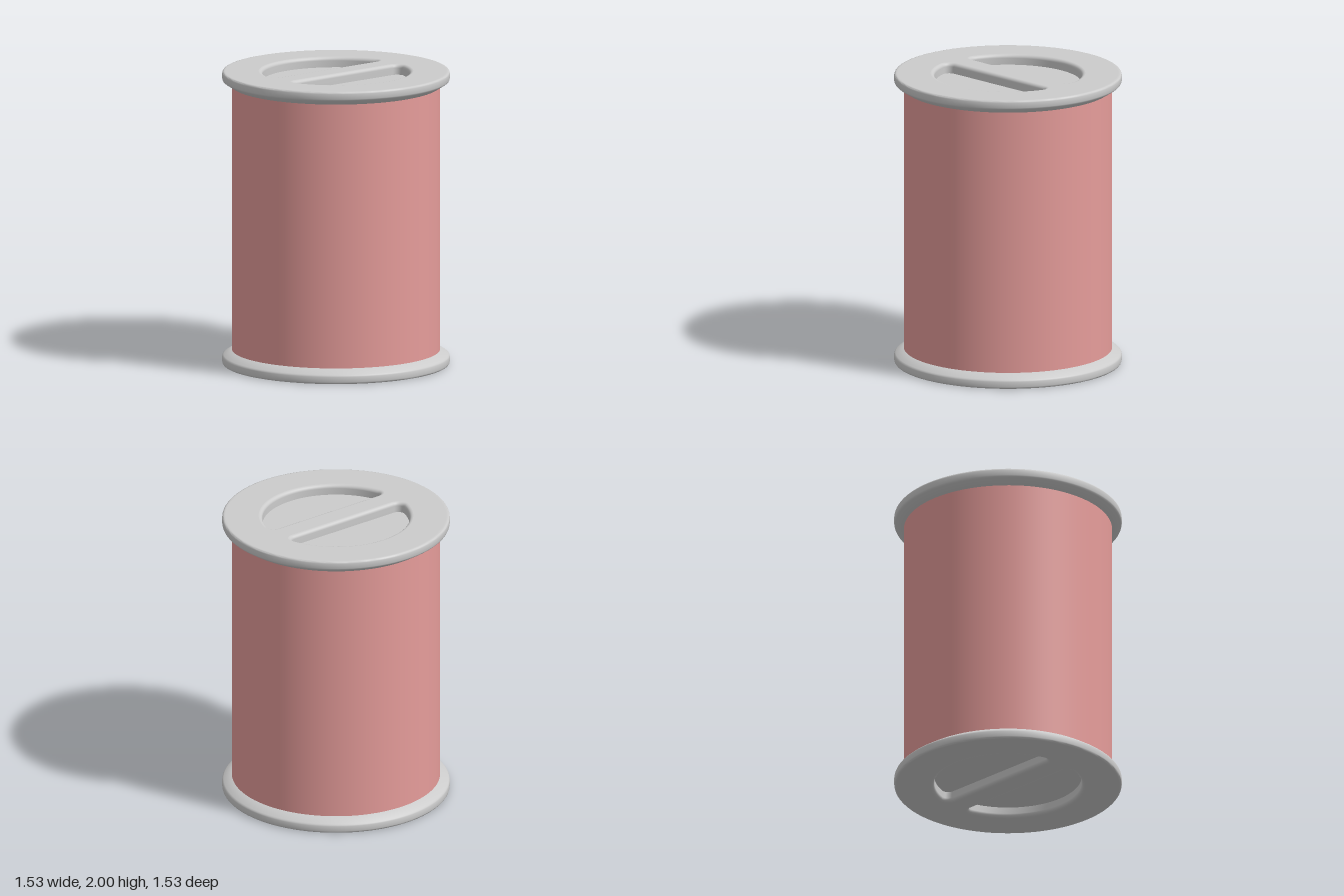
import * as THREE from 'three';
import { toCreasedNormals } from 'three/addons/utils/BufferGeometryUtils.js';

const SEG = 96;
const TOP = 2;          // outer face height of the upper cap
const DEPTH = 0.07;     // recess depth
const ROUND = 0.025;    // soft lip around each recess

// Half-moon outline with rounded corners, grown outward by t (clockwise).
function halfMoon(t, side) {
  const r = 0.045, R = 0.495, cx = 0.088 + r;
  const cy = Math.sqrt((R - r) ** 2 - cx ** 2);
  const a = Math.atan2(cy, cx);
  const pts = [];
  const arc = (x, y, radius, from, to, n) => {
    for (let i = 0; i <= n; i++) {
      const th = from + (to - from) * i / n;
      pts.push(new THREE.Vector2(side * (x + radius * Math.cos(th)), side * (y + radius * Math.sin(th))));
    }
  };
  arc(cx, cy, r + t, Math.PI, a + 0.05, 9);
  arc(0, 0, R + t, a, -a, 48);
  arc(cx, -cy, r + t, -a - 0.05, -Math.PI, 9);
  return pts;
}

// Recess wall: outline rings stepping over the rounded lip, then straight down.
function recessWall(side) {
  const rings = [];
  for (let i = 0; i <= 6; i++) {
    const th = i / 6 * Math.PI / 2;
    rings.push([ROUND * (1 - Math.sin(th)), TOP - ROUND * (1 - Math.cos(th))]);
  }
  rings.push([0, TOP - DEPTH]);
  const pos = [], idx = [];
  let n = 0;
  rings.forEach(([t, y]) => {
    const pts = halfMoon(t, side);
    n = pts.length;
    pts.forEach(p => pos.push(p.x, y, -p.y));
  });
  for (let k = 0; k < rings.length - 1; k++) {
    for (let i = 0; i < n; i++) {
      const a = k * n + i, b = k * n + (i + 1) % n;
      idx.push(a, a + n, b, b, a + n, b + n);
    }
  }
  const g = new THREE.BufferGeometry();
  g.setAttribute('position', new THREE.Float32BufferAttribute(pos, 3));
  g.setIndex(idx);
  g.computeVertexNormals();
  return g;
}

// Flat face lying at height y, facing up.
function flatFace(shape, y) {
  return new THREE.ShapeGeometry(shape, SEG / 2).rotateX(-Math.PI / 2).translate(0, y, 0);
}

function makeCap(name, material) {
  const cap = new THREE.Group();
  cap.name = name;
  const add = (part, geometry) => {
    const mesh = new THREE.Mesh(geometry, material);
    mesh.name = part;
    cap.add(mesh);
  };

  // Flared rim with softened edges
  const profile = [
    [0.68, 1.9], [0.703, 1.903], [0.755, 1.936], [0.762, 1.942], [0.765, 1.95],
    [0.765, 1.985], [0.763, 1.992], [0.758, 1.998], [0.75, 2], [0.74, 2],
  ].map(([r, y]) => new THREE.Vector2(r, y));
  add('rim', toCreasedNormals(new THREE.LatheGeometry(profile, SEG), 0.7));

  // Face plate, leaving a bar between the two recesses
  const plate = new THREE.Shape(Array.from({ length: SEG }, (_, i) => {
    const th = i / SEG * Math.PI * 2;
    return new THREE.Vector2(0.74 * Math.cos(th), 0.74 * Math.sin(th));
  }));
  [1, -1].forEach(side => plate.holes.push(new THREE.Path(halfMoon(ROUND, side))));
  add('facePlate', flatFace(plate, TOP));

  // Recesses
  [1, -1].forEach(side => {
    const label = side > 0 ? 'left' : 'right';
    add(label + 'RecessWall', recessWall(side));
    add(label + 'RecessFloor', flatFace(new THREE.Shape(halfMoon(0, side)), TOP - DEPTH));
  });
  return cap;
}

export function createModel() {
  const model = new THREE.Group();
  model.name = 'spool';
  const grey = new THREE.MeshStandardMaterial({ color: 0xcccccc });
  const pink = new THREE.MeshStandardMaterial({ color: 0xe59c9a });

  // Wound body
  const body = new THREE.Mesh(new THREE.CylinderGeometry(0.7, 0.7, 1.82, SEG), pink);
  body.name = 'body';
  body.position.y = 1;
  model.add(body);

  // Matching caps at both ends
  const upper = makeCap('topCap', grey);
  const lower = makeCap('bottomCap', grey);
  lower.rotation.x = Math.PI;
  lower.position.y = TOP;
  model.add(upper, lower);
  return model;
}
